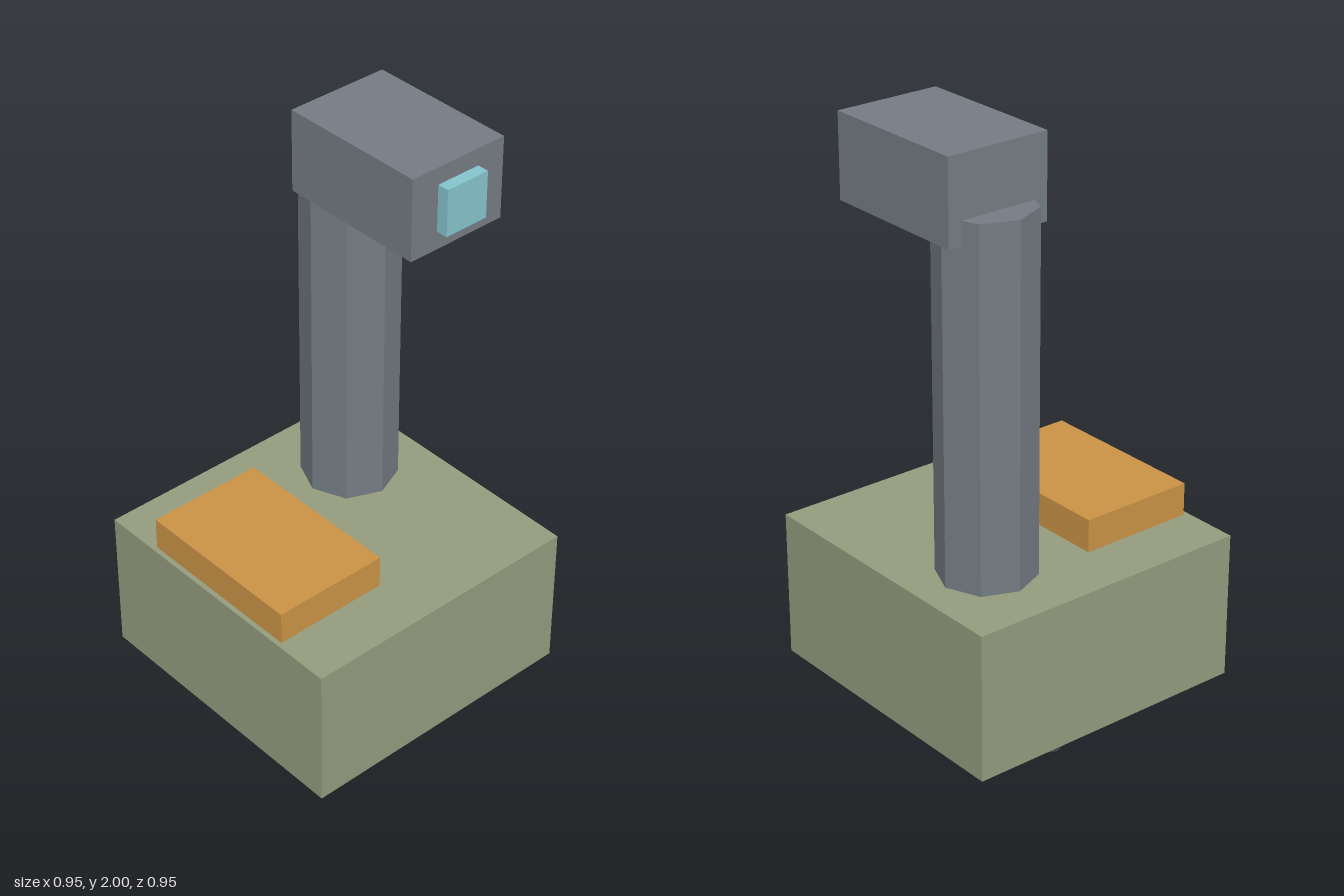
import * as THREE from 'three';

const paint = (name, color) => {
  const material = new THREE.MeshStandardMaterial({ color });
  material.name = name;
  return material;
};

export function createModel() {
  const model = new THREE.Group();
  model.name = 'mastUnit';

  const olive = paint('olive', 0x939a7c);
  const steel = paint('steelGrey', 0x737b82);
  const dark = paint('darkGrey', 0x45494d);
  const amber = paint('amber', 0xc99245);
  const glass = paint('paleBlue', 0x84c2ca);

  const add = (name, geometry, material, x, y, z) => {
    const mesh = new THREE.Mesh(geometry, material);
    mesh.name = name;
    mesh.position.set(x, y, z);
    model.add(mesh);
  };

  // Box given by its lower and upper corners
  const box = (name, material, [x0, y0, z0], [x1, y1, z1]) =>
    add(name, new THREE.BoxGeometry(x1 - x0, y1 - y0, z1 - z0), material,
      (x0 + x1) / 2, (y0 + y1) / 2, (z0 + z1) / 2);

  // Upright faceted octagonal prism with corners on the x and z axes
  const prism = (name, material, radius, y0, y1, x, z) => {
    const geometry = new THREE.CylinderGeometry(radius, radius, y1 - y0, 8).toNonIndexed();
    geometry.computeVertexNormals();
    add(name, geometry, material, x, (y0 + y1) / 2, z);
  };

  // Pivot below the body, with a narrow gap between them
  prism('pivotBase', dark, 0.247, 0, 0.19, 0, 0);
  box('body', olive, [-0.475, 0.203, -0.475], [0.475, 0.678, 0.475]);
  box('topPanel', amber, [-0.459, 0.678, -0.287], [-0.078, 0.784, 0.285]);

  // Mast carrying the sensor head and its lens
  prism('mast', steel, 0.152, 0.678, 1.81, 0.228, -0.19);
  box('sensorHead', steel, [0.057, 1.737, -0.247], [0.399, 2, 0.247]);
  box('lens', glass, [0.153, 1.795, 0.247], [0.303, 1.945, 0.285]);

  return model;
}
